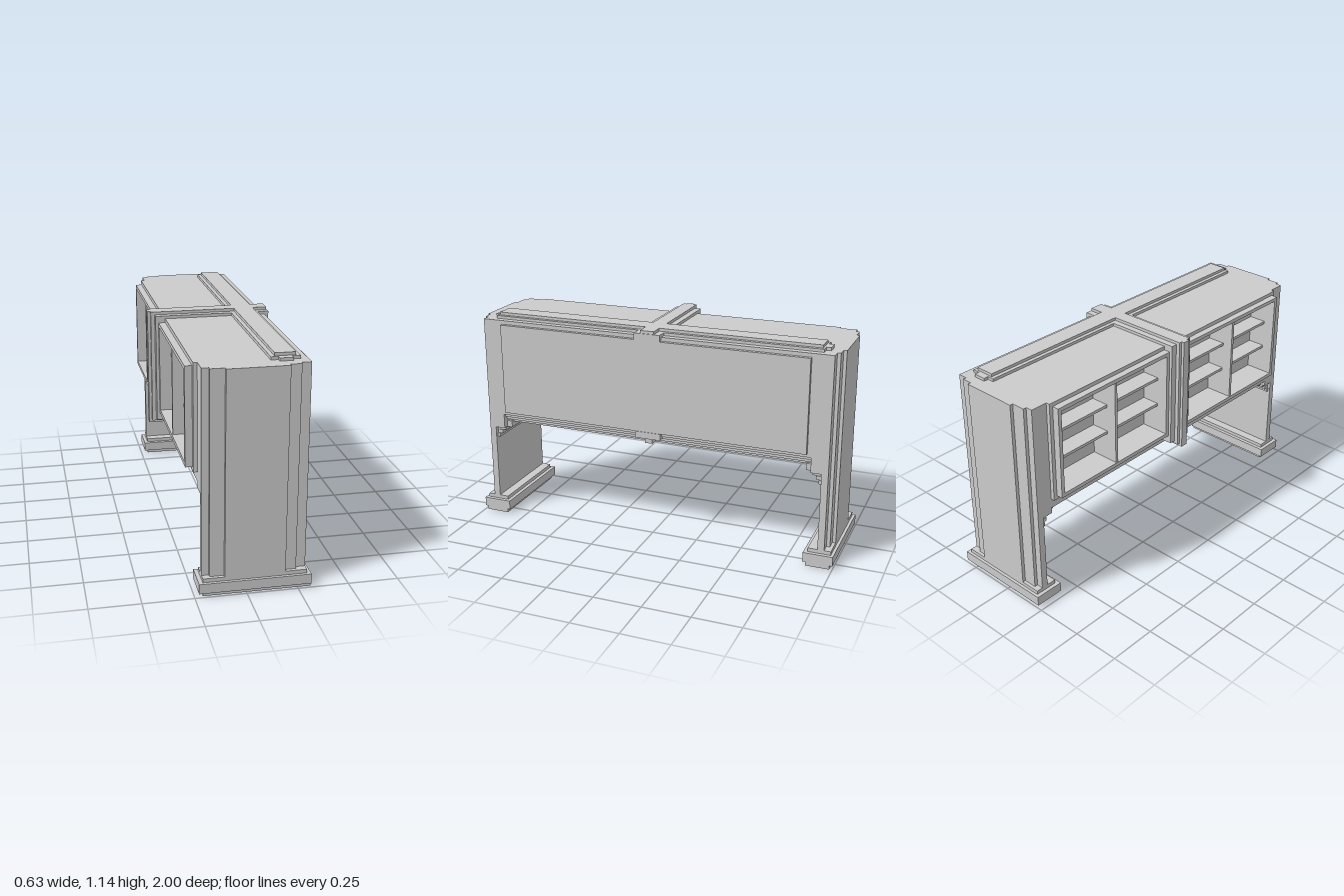
import * as THREE from 'three';

const material = new THREE.MeshStandardMaterial({ color: 0xcccccc, flatShading: true });

// Box given by its extents on each axis
function box(parent, name, x0, x1, y0, y1, z0, z1) {
  const mesh = new THREE.Mesh(new THREE.BoxGeometry(x1 - x0, y1 - y0, z1 - z0), material);
  mesh.position.set((x0 + x1) / 2, (y0 + y1) / 2, (z0 + z1) / 2);
  mesh.name = name;
  parent.add(mesh);
}

// Box repeated at both ends of the length
function pair(parent, name, x0, x1, y0, y1, z0, z1) {
  box(parent, name, x0, x1, y0, y1, z0, z1);
  box(parent, name, x0, x1, y0, y1, -z1, -z0);
}

// Pillar plan with stepped outer corners, extruded upward
function pillar(side) {
  const pts = [
    [-0.21, 0.915], [-0.21, 0.95], [-0.175, 0.95], [-0.175, 0.968], [-0.105, 0.968], [-0.105, 0.985],
    [0.19, 0.985], [0.19, 0.968], [0.245, 0.968], [0.245, 0.95], [0.295, 0.95], [0.295, 0.915],
  ];
  const shape = new THREE.Shape(pts.map(([x, z]) => new THREE.Vector2(x, -z * side)));
  const geo = new THREE.ExtrudeGeometry(shape, { depth: 1.02, bevelEnabled: false });
  geo.rotateX(-Math.PI / 2);
  geo.translate(0, 0.09, 0);
  const mesh = new THREE.Mesh(geo, material);
  mesh.name = 'pillar';
  return mesh;
}

export function createModel() {
  const model = new THREE.Group();
  model.name = 'bridgeCabinet';

  // End supports: foot, base, plinth, stepped pillar and stair brackets
  const supports = new THREE.Group();
  supports.name = 'endSupports';
  model.add(supports);
  pair(supports, 'foot', -0.21, 0.315, 0, 0.02, 0.86, 0.985);
  pair(supports, 'base', -0.23, 0.315, 0.02, 0.07, 0.845, 1);
  pair(supports, 'plinth', -0.21, 0.295, 0.07, 0.09, 0.865, 0.985);
  supports.add(pillar(1), pillar(-1));
  pair(supports, 'upperPillar', -0.21, 0.295, 0.5, 1.11, 0.86, 0.92);
  [[0.44, 0.9], [0.46, 0.885], [0.48, 0.865], [0.5, 0.83]].forEach(([y, z], i) =>
    pair(supports, 'bracketStep', -0.2 + i * 0.005, 0.28 - i * 0.005, y, i < 3 ? y + 0.02 : 0.535, z, 0.92));

  // Body: solid part behind the shelves, with top, bottom and end walls around them
  const body = new THREE.Group();
  body.name = 'body';
  model.add(body);
  box(body, 'core', -0.11, 0.295, 0.58, 1.11, -0.86, 0.86);
  box(body, 'topSlab', -0.23, -0.11, 1.09, 1.11, -0.86, 0.86);
  box(body, 'bottomSlab', -0.23, -0.11, 0.58, 0.6, -0.86, 0.86);
  pair(body, 'endWall', -0.23, -0.11, 0.6, 1.09, 0.84, 0.86);
  pair(body, 'sidePanel', 0.295, 0.315, 0.6, 1.09, 0.005, 0.84);
  box(body, 'panelJoint', 0.295, 0.315, 0.6, 1.09, -0.005, 0.005);

  // Stepped moulding under the body
  [[0.53, 0.25], [0.545, 0.265], [0.563, 0.28]].forEach(([y, x]) =>
    box(body, 'underStep', -0.21, x, y, 0.582, -0.86, 0.86));

  // Open shelf cabinets, two bays each with two shelves
  for (const side of [-1, 1]) {
    const cabinet = new THREE.Group();
    cabinet.name = 'shelfCabinet';
    model.add(cabinet);
    const part = (name, x0, x1, y0, y1, a, b) =>
      box(cabinet, name, x0, x1, y0, y1, Math.min(a * side, b * side), Math.max(a * side, b * side));
    part('topRail', -0.265, -0.11, 1.07, 1.09, 0.07, 0.84);
    part('bottomRail', -0.265, -0.11, 0.6, 0.62, 0.07, 0.84);
    part('innerStile', -0.265, -0.11, 0.62, 1.07, 0.07, 0.09);
    part('outerStile', -0.265, -0.11, 0.62, 1.07, 0.82, 0.84);
    part('divider', -0.26, -0.11, 0.62, 1.07, 0.447, 0.463);
    for (const y of [0.765, 0.915]) {
      part('shelf', -0.205, -0.11, y, y + 0.015, 0.09, 0.447);
      part('shelf', -0.205, -0.11, y, y + 0.015, 0.463, 0.82);
    }
  }

  // Stepped ridge along the top
  const trim = new THREE.Group();
  trim.name = 'trim';
  model.add(trim);
  box(trim, 'ridgeLower', 0.12, 0.26, 1.11, 1.125, -0.89, 0.89);
  box(trim, 'ridgeLowerEnd', 0.155, 0.22, 1.11, 1.125, -0.915, 0.915);
  box(trim, 'ridgeUpper', 0.14, 0.24, 1.125, 1.14, -0.88, 0.88);

  // Crossbar over the top and its end caps on the panel side
  box(trim, 'crossbarLower', -0.28, 0.314, 1.11, 1.125, -0.07, 0.07);
  box(trim, 'crossbarUpper', -0.3, 0.314, 1.125, 1.14, -0.037, 0.037);
  box(trim, 'topCap', 0.295, 0.318, 1.09, 1.125, -0.07, 0.07);
  box(trim, 'bottomCap', 0.25, 0.318, 0.565, 0.6, -0.07, 0.07);
  box(trim, 'bottomCapTip', 0.25, 0.3, 0.535, 0.565, -0.02, 0.02);

  // Stepped pilaster between the cabinets
  box(trim, 'pilasterBack', -0.28, -0.11, 0.56, 1.125, -0.07, 0.07);
  box(trim, 'pilasterMiddle', -0.3, -0.2, 0.545, 1.14, -0.037, 0.037);
  box(trim, 'pilasterFront', -0.315, -0.2, 0.53, 1.14, -0.02, 0.02);

  return model;
}
